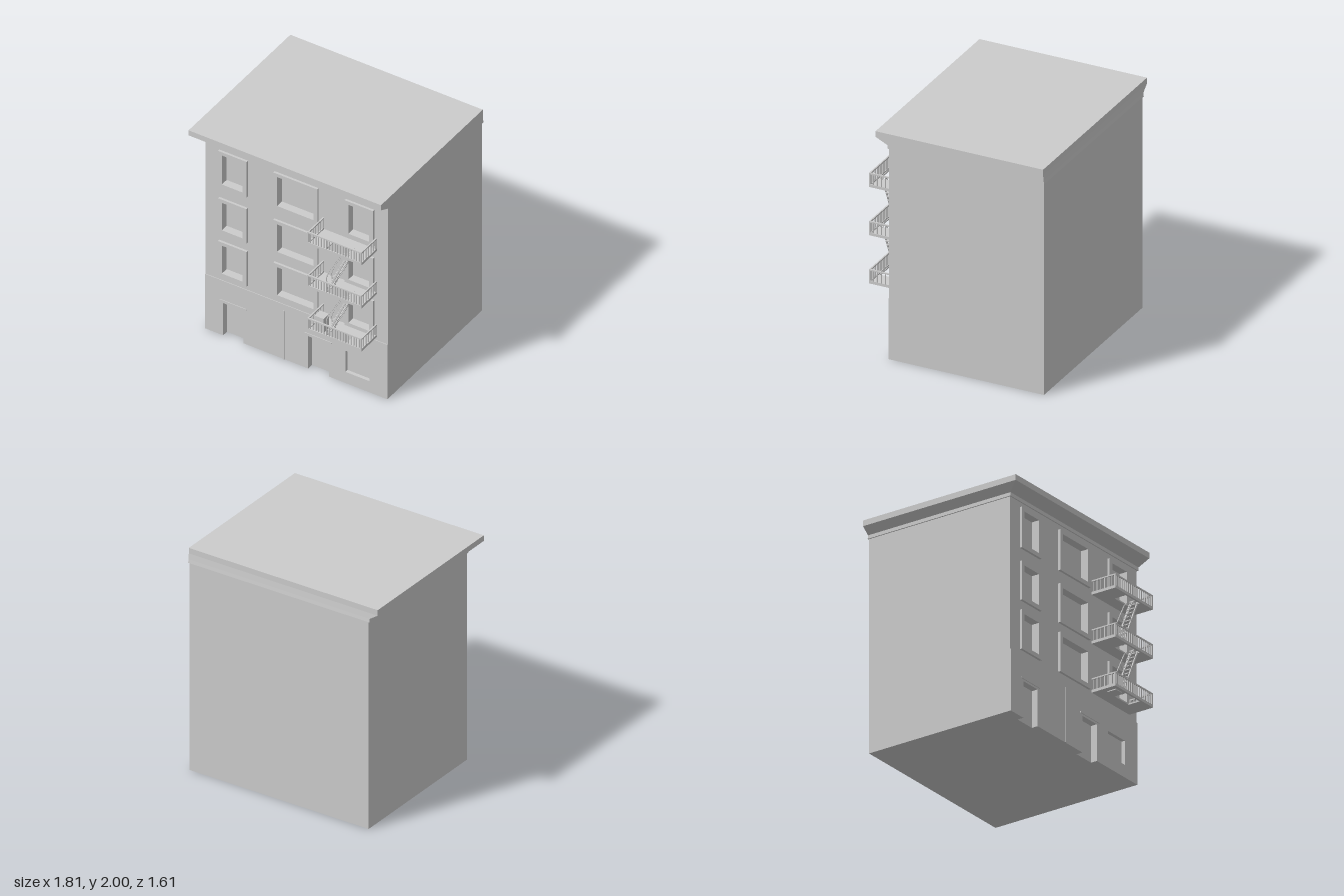
import * as THREE from 'three';

const grey = new THREE.MeshStandardMaterial({ color: 0xcccccc });
const BACK = -0.8, GLASS = 0.525, WALL = 0.575, BASE = 0.581;

function mesh(parent, name, geometry) {
  const m = new THREE.Mesh(geometry, grey);
  m.name = name;
  parent.add(m);
  return m;
}

// Box given by its two extreme corners
function box(parent, name, x0, x1, y0, y1, z0, z1) {
  const m = mesh(parent, name, new THREE.BoxGeometry(x1 - x0, y1 - y0, z1 - z0));
  m.position.set((x0 + x1) / 2, (y0 + y1) / 2, (z0 + z1) / 2);
  return m;
}

// Square bar between two points
function bar(parent, name, p, q, t) {
  const a = new THREE.Vector3(...p), b = new THREE.Vector3(...q);
  const m = mesh(parent, name, new THREE.BoxGeometry(t, a.distanceTo(b), t));
  m.position.copy(a).add(b).multiplyScalar(0.5);
  m.quaternion.setFromUnitVectors(new THREE.Vector3(0, 1, 0), b.sub(a).normalize());
  return m;
}

const rect = ([x0, x1, y0, y1]) => [[x0, y0], [x1, y0], [x1, y1], [x0, y1]].map(p => new THREE.Vector2(...p));

// Upright slab with rectangular openings
function slab(parent, name, outline, holes, z0, z1) {
  const shape = new THREE.Shape(outline);
  for (const h of holes) shape.holes.push(new THREE.Path(rect(h).reverse()));
  const g = new THREE.ExtrudeGeometry(shape, { depth: z1 - z0, bevelEnabled: false });
  g.translate(0, 0, z0);
  return mesh(parent, name, g);
}

// Cornice lofted through rectangular rings
function corniceGeometry() {
  const rings = [ // y, x0, x1, z0, z1
    [1.87, -0.83, 0.905, -0.806, 0.585],
    [1.9, -0.83, 0.905, -0.802, 0.585],
    [1.95, -0.905, 0.905, -0.797, 0.69],
    [2.0, -0.905, 0.905, -0.797, 0.69],
  ].map(([y, x0, x1, z0, z1]) => [[x0, y, z1], [x1, y, z1], [x1, y, z0], [x0, y, z0]]);
  const pos = [];
  const quad = (a, b, c, d) => pos.push(...a, ...b, ...c, ...a, ...c, ...d);
  for (let i = 0; i < rings.length - 1; i++) {
    for (let k = 0; k < 4; k++) {
      const n = (k + 1) % 4;
      quad(rings[i][k], rings[i][n], rings[i + 1][n], rings[i + 1][k]);
    }
  }
  quad(...rings[rings.length - 1]);
  quad(...[...rings[0]].reverse());
  const g = new THREE.BufferGeometry();
  g.setAttribute('position', new THREE.Float32BufferAttribute(pos, 3));
  g.computeVertexNormals();
  return g;
}

// Balcony with a stair opening in its floor and a railing on three sides
function balcony(y) {
  const g = new THREE.Group();
  g.name = 'balcony';
  g.position.y = y;
  const x0 = 0.285, x1 = 0.795, z0 = WALL, z1 = 0.805, top = 0.125, t = 0.012;
  box(g, 'floorLeft', x0, 0.45, 0, t, z0, z1);
  box(g, 'floorRight', 0.64, x1, 0, t, z0, z1);
  box(g, 'floorBack', 0.45, 0.64, 0, t, z0, 0.68);
  box(g, 'floorFront', 0.45, 0.64, 0, t, 0.787, z1);
  for (const h of [0.012, top - t]) {
    box(g, 'frontRail', x0, x1, h, h + t, z1 - t, z1);
    for (const x of [x0, x1 - t]) box(g, 'sideRail', x, x + t, h, h + t, z0, z1);
  }
  for (const x of [x0, x1 - t]) box(g, 'cornerPost', x, x + t, 0, top, z1 - t, z1);
  const count = 20;
  for (let i = 1; i < count; i++) {
    const x = x0 + (x1 - x0) * i / count;
    box(g, 'baluster', x - 0.004, x + 0.004, 0, top - t, z1 - 0.01, z1 - 0.002);
  }
  for (let i = 0; i < 6; i++) {
    const z = z0 + 0.01 + i * 0.036;
    for (const x of [x0 + 0.002, x1 - 0.01]) box(g, 'baluster', x, x + 0.008, 0, top - t, z, z + 0.008);
  }
  return g;
}

// Steep stair with bent handrails
function stair(y) {
  const g = new THREE.Group();
  g.name = 'stair';
  g.position.y = y;
  const rail = [[0.445, 0.03], [0.437, 0.13], [0.455, 0.19], [0.57, 0.41], [0.6, 0.44], [0.65, 0.455]];
  for (const z of [0.687, 0.761]) {
    bar(g, 'stringer', [0.445, 0, z], [0.648, 0.45, z], 0.012);
    for (let i = 0; i < rail.length - 1; i++) bar(g, 'handrail', [...rail[i], z], [...rail[i + 1], z], 0.007);
    for (const [a, b] of [[[0.455, 0.19], [0.51, 0.15]], [[0.515, 0.305], [0.562, 0.265]]]) {
      bar(g, 'handrailPost', [...a, z], [...b, z], 0.006);
    }
  }
  for (let i = 1; i <= 10; i++) {
    const x = 0.445 + 0.0192 * i, h = 0.0425 * i;
    box(g, 'tread', x - 0.017, x + 0.017, h - 0.004, h + 0.004, 0.687, 0.761);
  }
  return g;
}

export function createModel() {
  const model = new THREE.Group();
  model.name = 'building';

  // Main volume; its front plane shows through the openings as panes and doors
  box(model, 'body', -0.82, 0.895, 0, 1.87, BACK, GLASS);
  mesh(model, 'cornice', corniceGeometry());

  // Upper wall with three rows of framed windows
  const columns = [[-0.69, -0.42], [-0.17, 0.245], [0.5, 0.77]];
  const rows = [[0.585, 0.93], [1.015, 1.355], [1.47, 1.825]];
  const holes = [];
  for (const [y0, y1] of rows) {
    for (const [x0, x1] of columns) {
      const hole = [x0 + 0.037, x1 - 0.037, y0 + 0.036, y1 - 0.032];
      holes.push(hole);
      slab(model, 'windowFrame', rect([x0, x1, y0, y1]), [hole], WALL, 0.596);
    }
  }
  slab(model, 'upperWall', rect([-0.82, 0.895, 0.54, 1.87]), holes, GLASS, WALL);

  // Ground floor, slightly proud, with two door notches and a small window
  const doors = [[-0.65, -0.457], [0.15, 0.345]], doorTop = 0.32;
  const outline = [[-0.82, 0]];
  for (const [a, b] of doors) outline.push([a, 0], [a, doorTop], [b, doorTop], [b, 0]);
  outline.push([0.895, 0], [0.895, 0.54], [-0.82, 0.54]);
  slab(model, 'groundFloorWall', outline.map(p => new THREE.Vector2(...p)), [[0.5, 0.725, 0.11, 0.32]], GLASS, BASE);
  box(model, 'shopWindowPane', 0.5, 0.725, 0.11, 0.32, GLASS - 0.01, 0.55);
  for (const [a, b] of doors) box(model, 'doorLintel', a - 0.03, b + 0.03, 0.338, 0.35, WALL, 0.587);
  box(model, 'wallStrip', -0.085, -0.07, 0, 0.48, WALL, 0.587);

  // Fire escape
  const fireEscape = new THREE.Group();
  fireEscape.name = 'fireEscape';
  model.add(fireEscape);
  const levels = [0.575, 1.002, 1.43];
  for (const y of levels) fireEscape.add(balcony(y));
  for (const y of levels.slice(0, 2)) fireEscape.add(stair(y));
  box(fireEscape, 'hatchBox', 0.335, 0.42, 0.567, 0.725, 0.695, 0.775);

  return model;
}
